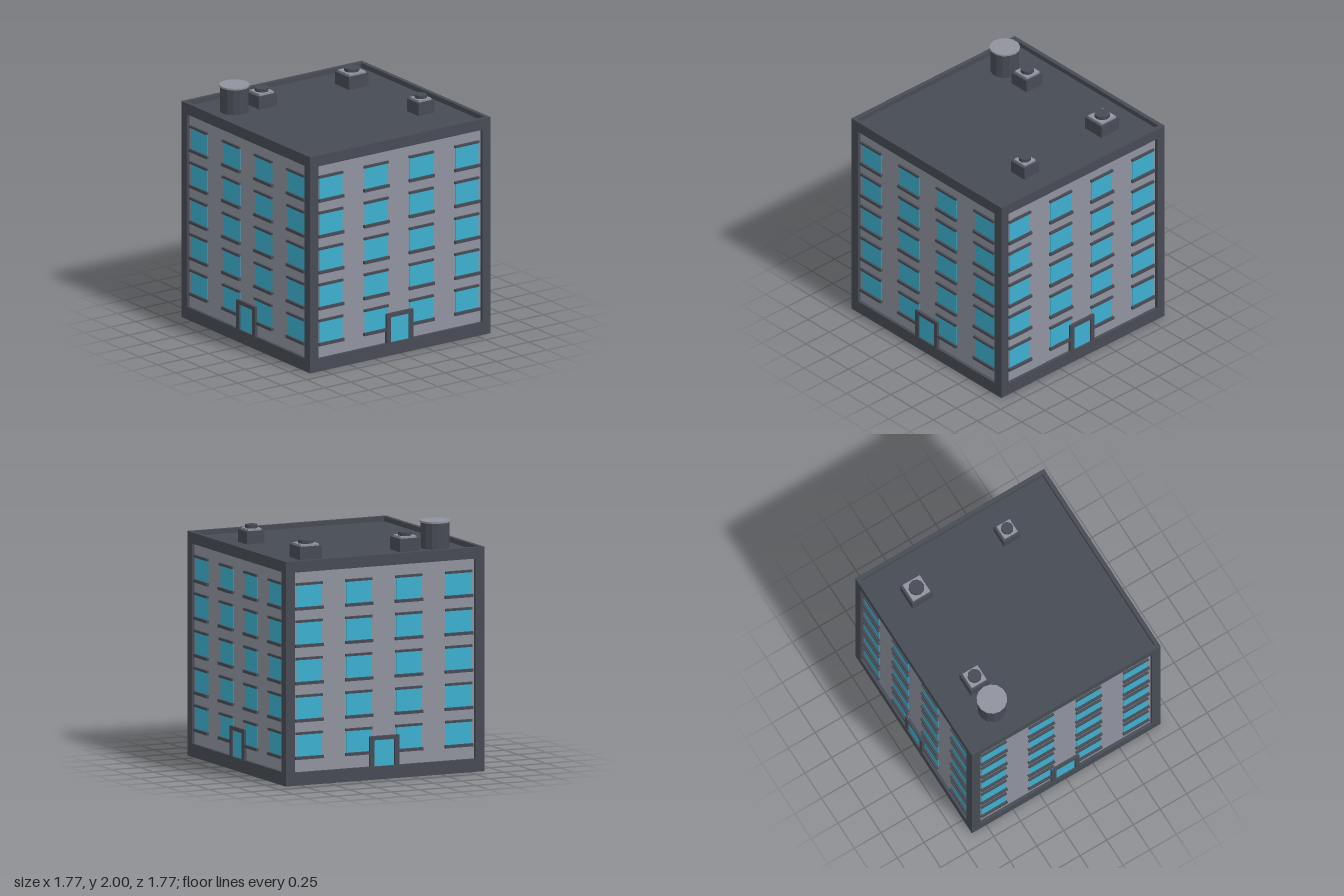
import * as THREE from 'three';

const mat = (name, color) => {
  const m = new THREE.MeshStandardMaterial({ color });
  m.name = name;
  return m;
};

export function createModel() {
  const dark = mat('darkTrim', 0x474b54);
  const gray = mat('wallGray', 0x90939f);
  const glass = mat('windowBlue', 0x3db0d0);

  const model = new THREE.Group();
  model.name = 'apartmentBlock';

  const add = (parent, name, geometry, material, x, y, z) => {
    const mesh = new THREE.Mesh(geometry, material);
    mesh.name = name;
    mesh.position.set(x, y, z);
    parent.add(mesh);
    return mesh;
  };
  // Box given by its size, centred in x and z, standing on y0
  const box = (parent, name, material, w, h, d, x, y0, z) =>
    add(parent, name, new THREE.BoxGeometry(w, h, d), material, x, y0 + h / 2, z);
  const drum = (parent, name, material, r, h, sides, x, y0, z) => {
    const g = new THREE.CylinderGeometry(r, r, h, sides).toNonIndexed();
    g.computeVertexNormals();
    return add(parent, name, g, material, x, y0 + h / 2, z);
  };

  const HALF = 0.885;   // outer half width
  const WALL = 0.86;    // recessed wall plane
  const OPEN = 0.805;   // half width of the wall panel
  const BASE = 0.106, LINTEL = 1.724, TOP = 1.815, ROOF = 1.775;

  // Wall core, plinth, roof slab and corner posts
  box(model, 'wallCore', gray, WALL * 2, LINTEL - BASE, WALL * 2, 0, BASE, 0);
  box(model, 'plinth', dark, HALF * 2, BASE, HALF * 2, 0, 0, 0);
  box(model, 'roofSlab', dark, HALF * 2, ROOF - LINTEL, HALF * 2, 0, LINTEL, 0);
  const post = HALF - OPEN;
  for (const sx of [-1, 1]) for (const sz of [-1, 1]) {
    box(model, 'cornerPost', dark, post, LINTEL - BASE, post,
      sx * (OPEN + post / 2), BASE, sz * (OPEN + post / 2));
  }

  // Parapet ring around the roof
  const square = (Type, s) => {
    const p = new Type();
    p.moveTo(-s, -s).lineTo(s, -s).lineTo(s, s).lineTo(-s, s).closePath();
    return p;
  };
  const ring = square(THREE.Shape, HALF);
  ring.holes.push(square(THREE.Path, 0.85));
  const parapet = new THREE.ExtrudeGeometry(ring, { depth: TOP - ROOF, bevelEnabled: false });
  parapet.rotateX(-Math.PI / 2);
  add(model, 'parapet', parapet, dark, 0, ROOF, 0);

  // Four identical facades
  const facadeNames = ['frontFacade', 'leftFacade', 'backFacade', 'rightFacade'];
  facadeNames.forEach((name, i) => {
    const facade = new THREE.Group();
    facade.name = name;
    facade.rotation.y = i * Math.PI / 2;
    model.add(facade);

    // Windows with a lintel and a sill
    for (let row = 0; row < 5; row++) {
      const y = 0.207 + row * 0.3018;
      for (let col = 0; col < 4; col++) {
        const x = (col - 1.5) * 0.444;
        box(facade, 'window', glass, 0.226, 0.19, 0.006, x, y + 0.015, WALL + 0.001);
        box(facade, 'windowSill', dark, 0.246, 0.024, 0.03, x - 0.002, y, WALL + 0.007);
        box(facade, 'windowLintel', dark, 0.237, 0.019, 0.026, x - 0.004, y + 0.201, WALL + 0.005);
      }
    }

    // Door with its frame
    const cx = -0.003, z = WALL + 0.009;
    for (const s of [-1, 1]) {
      box(facade, 'doorJamb', dark, 0.04, 0.244, 0.03, cx + s * 0.11, BASE, z);
    }
    box(facade, 'doorHead', dark, 0.18, 0.032, 0.03, cx, 0.318, z);
    box(facade, 'doorGlass', glass, 0.18, 0.212, 0.008, cx, BASE, WALL + 0.008);
  });

  // Roof vents: base, plate and cap
  const vents = [
    [0.35, -0.58, 0.157, 0.122, 0.05],
    [-0.53, -0.533, 0.193, 0.16, 0.063],
    [-0.53, 0.35, 0.175, 0.14, 0.056],
  ];
  for (const [x, z, w, plate, r] of vents) {
    const vent = new THREE.Group();
    vent.name = 'roofVent';
    vent.position.set(x, 0, z);
    model.add(vent);
    box(vent, 'ventBase', dark, w, 1.88 - ROOF, w, 0, ROOF, 0);
    box(vent, 'ventPlate', gray, plate, 0.016, plate, 0, 1.88, 0);
    drum(vent, 'ventCap', dark, r, 0.028, 10, 0, 1.896, 0);
  }

  // Water tank
  const tank = new THREE.Group();
  tank.name = 'waterTank';
  tank.position.set(-0.532, 0, 0.617);
  model.add(tank);
  drum(tank, 'tankBody', dark, 0.115, 1.986 - ROOF, 14, 0, ROOF, 0);
  drum(tank, 'tankLid', gray, 0.123, 0.014, 14, 0, 1.986, 0);

  return model;
}
